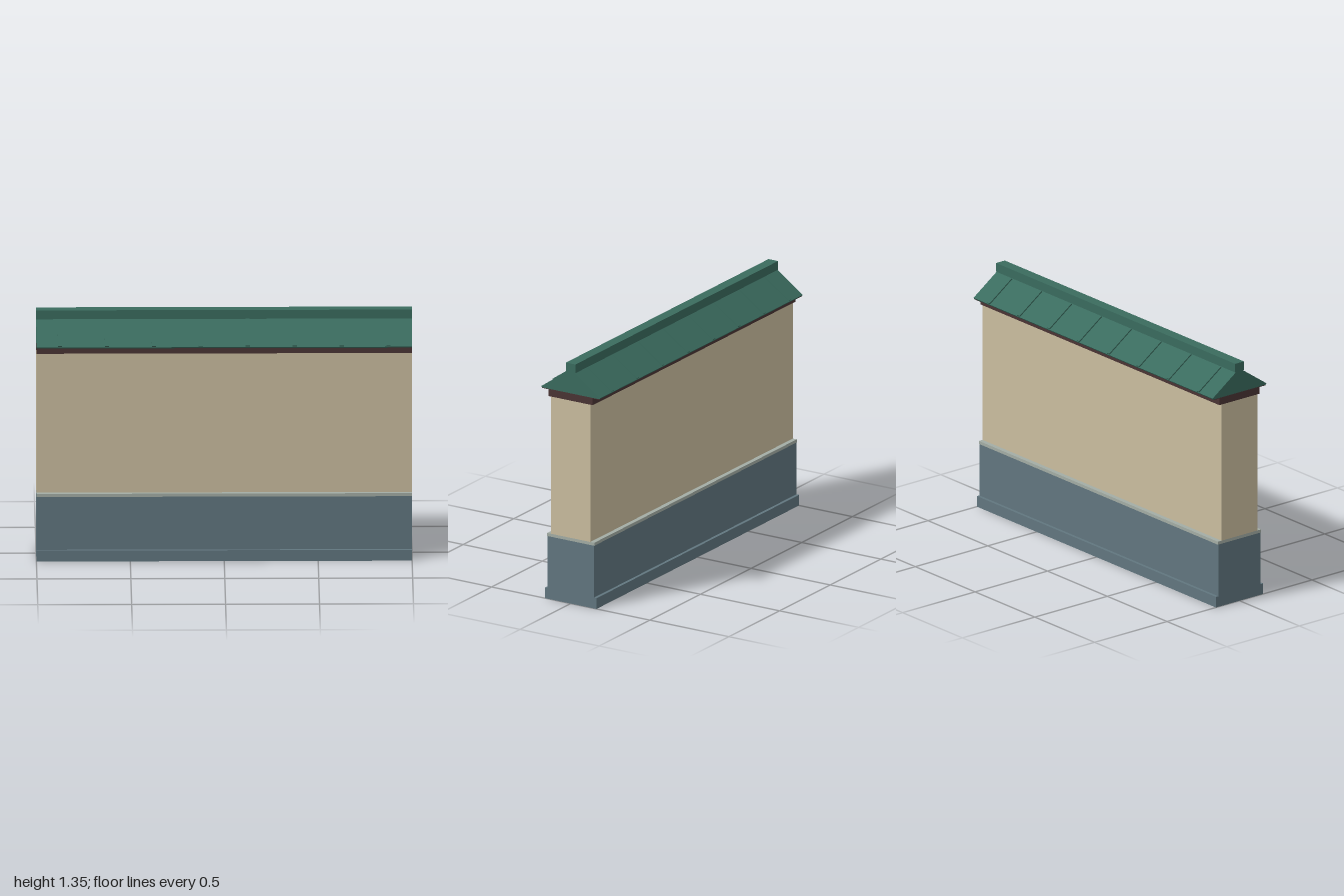
import * as THREE from 'three';

const LENGTH = 2;

function material(name, color) {
  const m = new THREE.MeshStandardMaterial({ color });
  m.name = name;
  return m;
}

export function createModel() {
  const slate = material('slate blue stone', 0x61767f);
  const trim = material('pale stone', 0xa3ada5);
  const plaster = material('tan plaster', 0xcabd9f);
  const wood = material('dark brown wood', 0x4a3434);
  const tile = material('green tile', 0x3a6b5e);

  const wall = new THREE.Group();
  wall.name = 'roofedWall';

  // Full-length course between two heights
  function course(name, halfDepth, y0, y1, mat) {
    const mesh = new THREE.Mesh(new THREE.BoxGeometry(LENGTH, y1 - y0, halfDepth * 2), mat);
    mesh.position.y = (y0 + y1) / 2;
    mesh.name = name;
    wall.add(mesh);
  }
  course('plinthFoot', 0.163, 0, 0.06, slate);
  course('plinth', 0.146, 0.06, 0.353, slate);
  course('plinthCap', 0.149, 0.353, 0.37, trim);
  course('wallPanel', 0.124, 0.37, 1.143, plaster);
  course('eaveBeam', 0.139, 1.143, 1.181, wood);
  course('eaveSoffit', 0.18, 1.181, 1.184, wood);
  course('ridgeCap', 0.03, 1.303, 1.352, tile);

  // Gabled roof: a (z, y) section extruded along x
  const section = new THREE.Shape([
    [-0.181, 1.184], [0.181, 1.184], [0.186, 1.191], [0, 1.32], [-0.186, 1.191],
  ].map(([z, y]) => new THREE.Vector2(z, y)));
  const roofGeometry = new THREE.ExtrudeGeometry(section, { depth: LENGTH, bevelEnabled: false });
  roofGeometry.translate(0, 0, -LENGTH / 2).rotateY(Math.PI / 2);
  const roof = new THREE.Mesh(roofGeometry, tile);
  roof.name = 'roof';
  wall.add(roof);

  // Raised ribs down both slopes
  const rise = 1.299 - 1.193, run = 0.183 - 0.03;
  const ribGeometry = new THREE.BoxGeometry(0.022, 0.014, Math.hypot(rise, run));
  for (const side of [1, -1]) {
    for (let i = 0; i < 8; i++) {
      const rib = new THREE.Mesh(ribGeometry, tile);
      rib.position.set(-0.875 + i * 0.25, (1.299 + 1.193) / 2, side * (0.183 + 0.03) / 2);
      rib.rotation.x = side * Math.atan2(rise, run);
      rib.name = side > 0 ? 'frontRoofRib' : 'backRoofRib';
      wall.add(rib);
    }
  }
  return wall;
}
